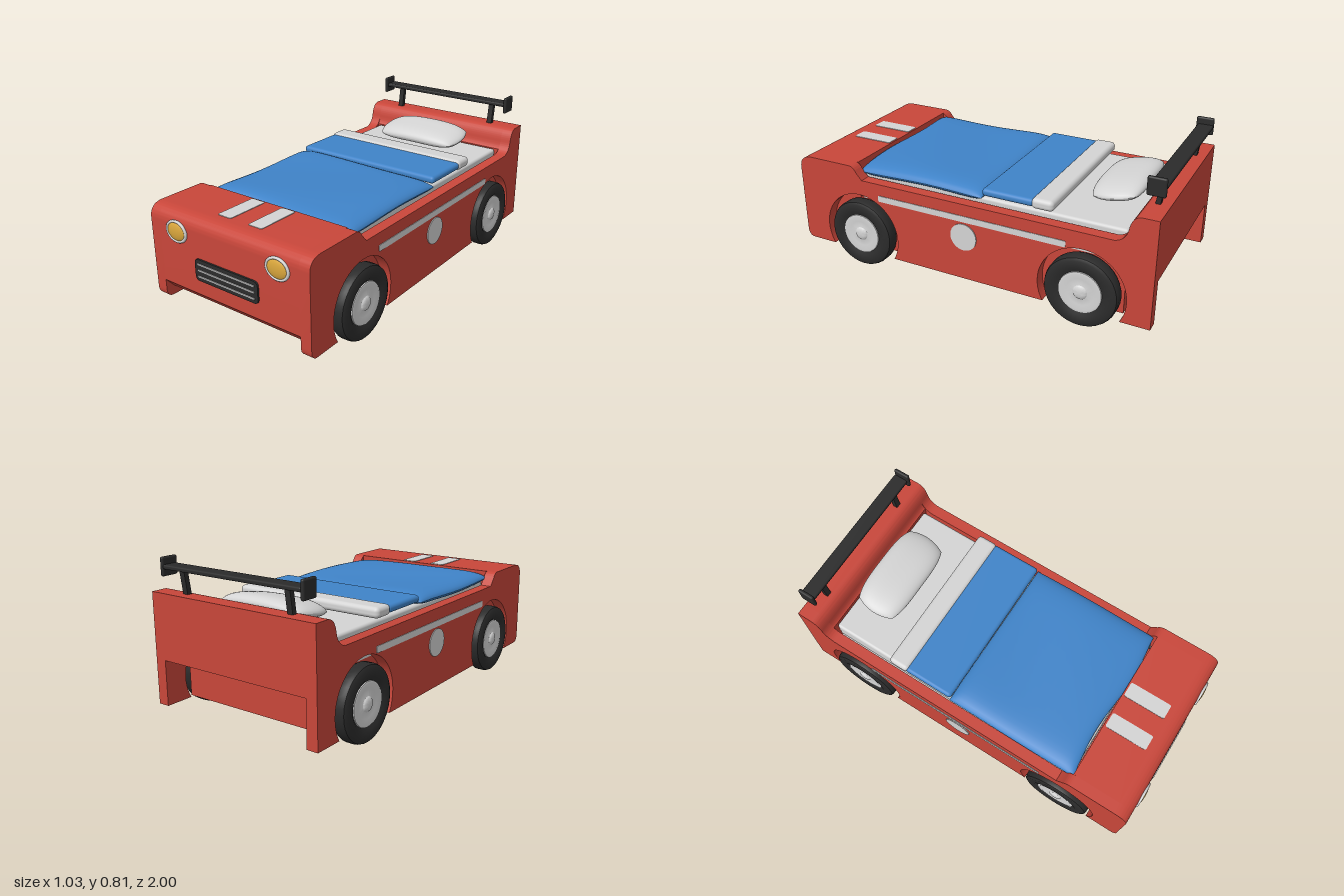
import * as THREE from 'three';
import { mergeVertices, toCreasedNormals } from 'three/addons/utils/BufferGeometryUtils.js';
import { RoundedBoxGeometry } from 'three/addons/geometries/RoundedBoxGeometry.js';

const mat = (name, color) => new THREE.MeshStandardMaterial({ name, color });

export function createModel() {
  const red = mat('red paint', 0xc8463a);
  const blue = mat('blue bedding', 0x3f83c8);
  const white = mat('light fabric and trim', 0xd4d4d4);
  const black = mat('black rubber and plastic', 0x2b2b2b);
  const amber = mat('amber lamp', 0xd9a63c);
  const root = new THREE.Group();

  const add = (name, geo, material, x = 0, y = 0, z = 0, parent = root) => {
    const m = new THREE.Mesh(geo, material);
    m.name = name;
    m.position.set(x, y, z);
    parent.add(m);
    return m;
  };

  // Extrudes a (z, y) outline across x from x0 to x1
  const across = (shape, x0, x1) => {
    const g = new THREE.ExtrudeGeometry(shape, { depth: x1 - x0, bevelEnabled: false, curveSegments: 20 });
    g.rotateY(-Math.PI / 2).translate(x1, 0, 0);
    return toCreasedNormals(g, 0.6);
  };

  const roundRect = (w, h, r) => {
    const s = new THREE.Shape(), a = w / 2, b = h / 2;
    s.moveTo(-a + r, -b);
    s.lineTo(a - r, -b).quadraticCurveTo(a, -b, a, -b + r);
    s.lineTo(a, b - r).quadraticCurveTo(a, b, a - r, b);
    s.lineTo(-a + r, b).quadraticCurveTo(-a, b, -a, b - r);
    s.lineTo(-a, -b + r).quadraticCurveTo(-a, -b, -a + r, -b);
    return s;
  };
  const plate = (w, h, r, depth) =>
    new THREE.ExtrudeGeometry(roundRect(w, h, r), { depth, bevelEnabled: false, curveSegments: 6 });

  // Soft cushion: a box whose thickness falls off to its rim, with an optional extra rule
  const cushion = (w, h, d, power, rule) => {
    let g = new THREE.BoxGeometry(2, 2, 2, 28, 1, 28);
    g.deleteAttribute('uv');
    g.deleteAttribute('normal');
    g = mergeVertices(g);
    const p = g.attributes.position, v = new THREE.Vector3();
    for (let i = 0; i < p.count; i++) {
      const u = Math.sin(p.getX(i) * Math.PI / 2), t = Math.sin(p.getZ(i) * Math.PI / 2);
      const fall = Math.sqrt(Math.max(0, (1 - Math.abs(u) ** power) * (1 - Math.abs(t) ** power)));
      v.set(u * w / 2, p.getY(i) * fall * h / 2, t * d / 2);
      if (rule) rule(v, u, t);
      p.setXYZ(i, v.x, v.y, v.z);
    }
    g.computeVertexNormals();
    return g;
  };

  // Side panels with wheel arches, raised headboard end and raised bonnet end
  const FRONT = 0.6, REAR = -0.655, AXLE = 0.19, ARCH = 0.225;
  const dip = Math.asin((AXLE - 0.08) / ARCH), half = ARCH * Math.cos(dip);
  const side = new THREE.Shape();
  side.moveTo(-1, 0.08);
  for (const c of [REAR, FRONT]) {
    side.lineTo(c - half, 0.08);
    side.absarc(c, AXLE, ARCH, Math.PI + dip, -dip, true);
  }
  side.lineTo(0.94, 0.08).quadraticCurveTo(0.98, 0.08, 0.98, 0.13);
  side.lineTo(0.98, 0.5).quadraticCurveTo(0.98, 0.57, 0.9, 0.57);
  side.lineTo(0.66, 0.57).quadraticCurveTo(0.63, 0.57, 0.615, 0.54);
  side.lineTo(0.58, 0.5);
  side.lineTo(-0.8, 0.5).quadraticCurveTo(-0.855, 0.51, -0.865, 0.57);
  side.quadraticCurveTo(-0.875, 0.635, -0.92, 0.64);
  side.lineTo(-1, 0.64);
  for (const [name, x0] of [['leftSidePanel', 0.43], ['rightSidePanel', -0.49]])
    add(name, across(side, x0, x0 + 0.06), red);

  // Headboard and bonnet between the side panels
  const head = new THREE.Shape();
  head.moveTo(-1, 0.31);
  head.lineTo(-0.845, 0.31);
  head.lineTo(-0.845, 0.52).quadraticCurveTo(-0.86, 0.53, -0.865, 0.57);
  head.quadraticCurveTo(-0.875, 0.635, -0.92, 0.64);
  head.lineTo(-1, 0.64);
  add('headboard', across(head, -0.43, 0.43), red);

  const bonnet = new THREE.Shape();
  bonnet.moveTo(0.64, 0.3);
  bonnet.lineTo(0.84, 0.125);
  bonnet.lineTo(0.93, 0.125);
  bonnet.lineTo(0.98, 0.18);
  bonnet.lineTo(0.98, 0.5).quadraticCurveTo(0.98, 0.57, 0.9, 0.57);
  bonnet.lineTo(0.64, 0.57);
  add('bonnet', across(bonnet, -0.43, 0.43), red);

  // Base and mattress
  add('bedBase', new THREE.BoxGeometry(0.86, 0.28, 1.7), red, 0, 0.23, 0);
  add('mattress', new RoundedBoxGeometry(0.82, 0.15, 1.47, 3, 0.015), white, 0, 0.445, -0.105);
  add('mattressSkirt', new THREE.BoxGeometry(0.86, 0.06, 1.44), white, 0, 0.4, -0.1);

  // Bedding
  add('duvet', cushion(0.87, 0.07, 0.73, 10, (v, u, t) => {
    v.y += 0.005 * Math.sin(t * 3 + u * 2) - 0.008 * u ** 8;
    v.z += Math.max(0, t) ** 4 * 0.012 * Math.sin(u * 4);
  }), blue, 0, 0.537, 0.268);
  add('foldedDuvet', new RoundedBoxGeometry(0.86, 0.04, 0.28, 3, 0.018), blue, 0, 0.555, -0.235);
  add('foldedSheet', new RoundedBoxGeometry(0.865, 0.055, 0.115, 4, 0.022), white, 0, 0.556, -0.418);
  const pillow = add('pillow', cushion(0.52, 0.085, 0.26, 3.5, (v, u, t) => {
    v.x *= 1 - 0.1 * t * t;
    v.z *= 1 - 0.2 * u ** 4;
    v.y += 0.012 * (1 - u * u);
  }), white, 0, 0.582, -0.7);
  pillow.rotation.x = 0.17;

  // Rear wing
  add('wingBlade', new RoundedBoxGeometry(0.82, 0.022, 0.08, 2, 0.008), black, 0, 0.765, -0.957);
  for (const s of [-1, 1]) {
    add('wingEndPlate', new RoundedBoxGeometry(0.02, 0.092, 0.09, 3, 0.009), black, s * 0.417, 0.765, -0.953);
    const post = add('wingPost', new THREE.BoxGeometry(0.03, 0.13, 0.024), black, s * 0.315, 0.697, -0.948);
    post.rotation.x = -0.14;
  }

  // Wheels: lathe profiles as (radius, width), turned to face outward
  const pts = (a) => a.map(([r, y]) => new THREE.Vector2(r, y));
  const tyreGeo = toCreasedNormals(new THREE.LatheGeometry(pts([
    [0, -0.04], [0.165, -0.04], [0.18, -0.034], [0.187, -0.02], [0.187, 0.02], [0.182, 0.033],
    [0.168, 0.04], [0.125, 0.04], [0.108, 0.028], [0, 0.028]]), 36), 0.7);
  const hubGeo = toCreasedNormals(new THREE.LatheGeometry(pts([
    [0.11, 0.026], [0.108, 0.034], [0.098, 0.036], [0.07, 0.03], [0.037, 0.032],
    [0.032, 0.038], [0.018, 0.042], [0, 0.043]]), 36), 0.8);
  for (const s of [-1, 1]) for (const z of [FRONT, REAR]) {
    const wheel = new THREE.Group();
    wheel.name = (z > 0 ? 'front' : 'rear') + (s > 0 ? 'LeftWheel' : 'RightWheel');
    wheel.position.set(s * 0.47, AXLE, z);
    wheel.rotation.z = -s * Math.PI / 2;
    root.add(wheel);
    add('tyre', tyreGeo, black, 0, 0, 0, wheel);
    add('hub', hubGeo, white, 0, 0, 0, wheel);
  }

  // Headlights
  for (const s of [-1, 1]) {
    const lens = add('headlightLens', new THREE.SphereGeometry(1, 28, 16), amber, s * 0.313, 0.473, 0.98);
    lens.scale.set(0.061, 0.048, 0.016);
    const rim = add('headlightRim', new THREE.TorusGeometry(0.062, 0.008, 10, 36), white, s * 0.313, 0.473, 0.982);
    rim.scale.y = 0.82;
  }

  // Grille
  add('grille', plate(0.394, 0.112, 0.025, 0.009), black, 0, 0.316, 0.98);
  for (const y of [0.284, 0.316, 0.348])
    add('grilleBar', new THREE.BoxGeometry(0.356, 0.008, 0.008), white, 0, y, 0.99);

  // Painted stripes and door discs
  for (const s of [-1, 1]) {
    const stripe = add('bonnetStripe', plate(0.083, 0.232, 0.012, 0.004), white, s * 0.095, 0.569, 0.765);
    stripe.rotation.x = -Math.PI / 2;
    const band = add('sideStripe', plate(1.05, 0.033, 0.008, 0.004), white, s * 0.489, 0.42, -0.045);
    band.rotation.y = s * Math.PI / 2;
    const disc = add('doorDisc', new THREE.CylinderGeometry(0.073, 0.073, 0.008, 36), white, s * 0.491, 0.32, -0.025);
    disc.rotation.z = -s * Math.PI / 2;
  }
  return root;
}
